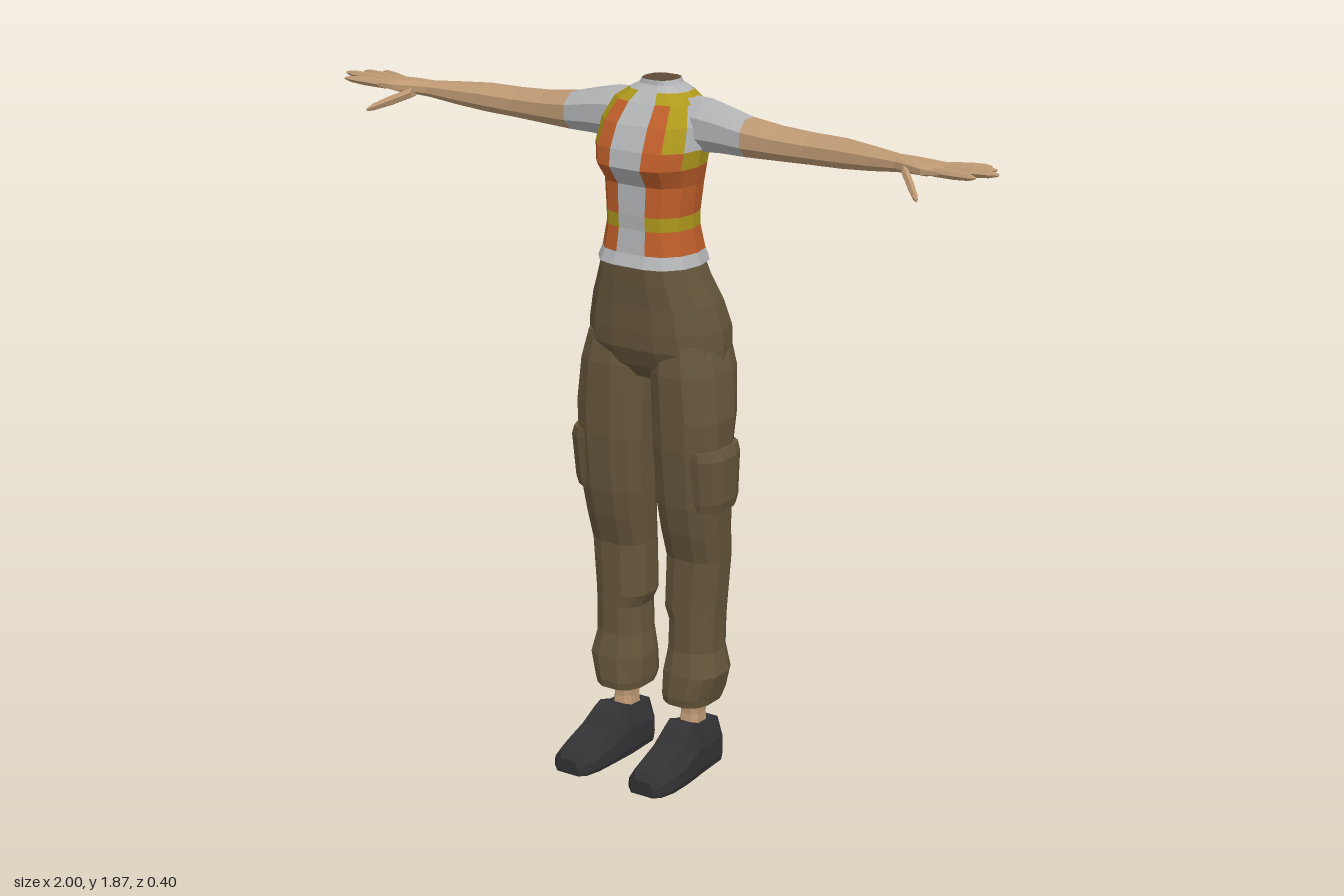
import * as THREE from 'three';

const mat = (name, color) => {
  const m = new THREE.MeshStandardMaterial({ color });
  m.name = name;
  return m;
};
const M = {
  skin: mat('skin', 0xbf9a74),
  trousers: mat('trousers', 0x65563b),
  orange: mat('vestOrange', 0xbf5e2a),
  yellow: mat('vestYellow', 0xae981c),
  shirt: mat('shirtGrey', 0xb2b4b6),
  shoe: mat('shoeBlack', 0x323234),
  hollow: mat('neckHollow', 0x5e4a36),
};
const V = (x, y, z) => new THREE.Vector3(x, y, z);

// Faceted skin over a list of rings; pick(i, j) gives the material of each face
function loft(name, rings, pick, capMat) {
  const faces = new Map();
  const add = (m, ...pts) => {
    if (!faces.has(m)) faces.set(m, []);
    pts.forEach(p => faces.get(m).push(p.x, p.y, p.z));
  };
  const choose = typeof pick === 'function' ? pick : () => pick;
  const n = rings[0].length;
  for (let i = 0; i < rings.length - 1; i++) {
    for (let j = 0; j < n; j++) {
      const k = (j + 1) % n, a = rings[i], b = rings[i + 1];
      add(choose(i, j), a[j], a[k], b[k], a[j], b[k], b[j]);
    }
  }
  [rings[0], rings[rings.length - 1]].forEach((r, e) => {
    const c = r.reduce((s, p) => s.add(p), V(0, 0, 0)).divideScalar(n);
    for (let j = 0; j < n; j++) {
      const k = (j + 1) % n, m = capMat || choose(0, 0);
      if (e) add(m, c, r[j], r[k]);
      else add(m, c, r[k], r[j]);
    }
  });
  const geo = new THREE.BufferGeometry(), pos = [], mats = [];
  for (const [m, list] of faces) {
    geo.addGroup(pos.length / 3, list.length / 3, mats.length);
    mats.push(m);
    for (const v of list) pos.push(v);
  }
  geo.setAttribute('position', new THREE.Float32BufferAttribute(pos, 3));
  geo.computeVertexNormals();
  const mesh = new THREE.Mesh(geo, mats.length > 1 ? mats : mats[0]);
  mesh.name = name;
  return mesh;
}

// Body ring from a half outline, mirrored; cleft pulls in the back centre
const HALF = [[0, 1], [.33, 1], [.66, .88], [.92, .5], [1, 0], [.92, -.5], [.7, -.85], [.35, -1], [0, -.97]];
function bodyRing([y, w, f, b, cleft = 0]) {
  const mid = (f + b) / 2, d = (f - b) / 2;
  const half = HALF.map(([u, v], i) => V(u * w, y, mid + v * d + (i === 8 ? cleft : 0)));
  const other = half.slice(1, 8).reverse().map(p => V(-p.x, p.y, p.z));
  return [...half, ...other];
}

// Squarish ring lying flat, for legs
const soft = v => Math.sign(v) * Math.abs(v) ** 0.75;
function legRing([y, x0, x1, f, b], n = 12) {
  return Array.from({ length: n }, (_, i) => {
    const a = (i + 0.5) / n * Math.PI * 2;
    return V((x0 + x1) / 2 + (x1 - x0) / 2 * soft(Math.sin(a)), y, (f + b) / 2 + (f - b) / 2 * soft(Math.cos(a)));
  });
}

// Upright ring across x, for arms and fingers
function armRing([x, y, z, ry, rz], n = 8) {
  return Array.from({ length: n }, (_, i) => {
    const a = (i + 0.5) / n * Math.PI * 2;
    return V(x, y + ry * 1.06 * Math.cos(a), z + rz * 1.06 * Math.sin(a));
  });
}

function makeTorso() {
  const rings = [
    [1.405, .145, .088, -.15], [1.437, .134, .075, -.14], [1.5, .122, .068, -.128], [1.537, .122, .07, -.128],
    [1.615, .13, .068, -.135], [1.665, .142, .102, -.142], [1.71, .148, .094, -.147], [1.77, .142, .066, -.147],
    [1.82, .122, .024, -.14], [1.845, .085, -.003, -.128], [1.86, .055, -.018, -.114], [1.872, .048, -.02, -.112],
  ].map(bodyRing);
  return loft('vestTorso', rings, (i, j) => {
    const s = j < 8 ? j : 15 - j;
    if (i === 0 || s === 0 || i > 8) return M.shirt; // hem, front stripe, neck
    if (i === 2 || i === 8) return M.yellow; // waist band, collar
    if (i === 5 && (s === 3 || s === 4)) return M.yellow; // below armhole
    if (i > 5 && (s === 3 || s === 4)) return M.shirt;
    if (i > 5 && (s === 2 || s === 5)) return M.yellow; // armhole trim
    return M.orange;
  }, M.hollow);
}

function makeHips() {
  const rings = [
    [1.09, .15, .01, -.13, .03], [1.13, .195, .045, -.17, .04], [1.18, .197, .066, -.194, .04], [1.23, .194, .07, -.197, .03],
    [1.3, .177, .072, -.175, .015], [1.36, .152, .077, -.15], [1.42, .132, .08, -.135],
  ].map(bodyRing);
  return loft('trouserHips', rings, M.trousers);
}

function makeLeg() {
  const leg = new THREE.Group();
  const rings = [
    [.188, .04, .176, .022, -.145], [.21, .036, .182, .026, -.156], [.275, .034, .202, .02, -.15], [.34, .045, .186, .006, -.142],
    [.42, .048, .187, .005, -.143], [.455, .032, .19, .005, -.146], [.6, .034, .204, .002, -.145], [.68, .03, .208, .026, -.138],
    [.76, .025, .215, .042, -.134], [.92, .02, .218, .058, -.138], [1.0, .016, .222, .06, -.15],
    [1.12, .013, .207, .062, -.172], [1.2, .025, .185, .05, -.165],
  ].map(r => legRing(r));
  leg.add(loft('trouserLeg', rings, M.trousers));
  const pocket = [[.755, .1, .226, .03, -.122], [.78, .1, .232, .036, -.126], [.9, .1, .237, .05, -.128], [.925, .1, .228, .05, -.13]];
  leg.add(loft('cargoPocket', pocket.map(r => legRing(r)), M.trousers));
  const ankle = [[.09, .075, .142, -.015, -.105], [.15, .08, .138, -.025, -.1], [.22, .075, .145, -.02, -.11]];
  leg.add(loft('ankle', ankle.map(r => legRing(r, 8)), M.skin));

  // Shoe sections run from heel to toe: z, centre x, half width, height
  const outline = [[.94, 0], [1, .15], [.96, .55], [.6, 1], [-.6, 1], [-.96, .55], [-1, .15], [-.94, 0]];
  const shoe = [
    [-.135, .112, .045, .112], [-.11, .112, .06, .122], [-.04, .113, .064, .125], [0, .114, .066, .138], [.025, .116, .067, .125],
    [.075, .119, .068, .093], [.14, .121, .066, .07], [.183, .121, .055, .058], [.2, .121, .036, .04],
  ].map(([z, cx, w, h]) => outline.map(([u, v]) => V(cx + u * w, v * h, z)));
  leg.add(loft('shoe', shoe, M.shoe));
  return leg;
}

function makeArm() {
  const arm = new THREE.Group();
  const rings = [
    [.09, 1.765, -.062, .07, .055], [.145, 1.766, -.062, .066, .056], [.2, 1.762, -.06, .058, .052], [.27, 1.753, -.06, .049, .049],
    [.36, 1.748, -.064, .042, .045], [.45, 1.747, -.066, .038, .043], [.55, 1.75, -.058, .036, .04], [.64, 1.752, -.046, .029, .032],
    [.72, 1.755, -.034, .021, .025], [.765, 1.757, -.03, .019, .037], [.81, 1.757, -.027, .017, .05], [.86, 1.759, -.03, .011, .052],
  ].map(r => armRing(r));
  arm.add(loft('sleeve', rings.slice(0, 4), M.shirt));
  arm.add(loft('forearmAndHand', rings.slice(3), M.skin));
  // Fingers: base and tip as x, y, z, then thickness
  const digits = [
    ['littleFinger', [.84, 1.757, -.068], [.938, 1.762, -.1], .01],
    ['ringFinger', [.84, 1.759, -.045], [.972, 1.766, -.062], .011],
    ['middleFinger', [.84, 1.76, -.018], [1, 1.767, -.02], .012],
    ['indexFinger', [.84, 1.758, .006], [.965, 1.765, .03], .011],
    ['thumb', [.755, 1.748, .0], [.842, 1.706, .09], .014],
  ];
  for (const [name, a, b, r] of digits) {
    const finger = [[0, 1], [.5, 1], [.85, .75], [1, .3]].map(([t, s]) =>
      armRing([...a.map((v, i) => v + (b[i] - v) * t), r * s, r * s * 1.1], 6));
    arm.add(loft(name, finger, M.skin));
  }
  return arm;
}

export function createModel() {
  const model = new THREE.Group();
  model.name = 'worker';
  model.add(makeTorso(), makeHips());
  for (const [side, s] of [['left', 1], ['right', -1]]) {
    const leg = makeLeg(), arm = makeArm();
    leg.name = side + 'Leg';
    arm.name = side + 'Arm';
    leg.scale.x = arm.scale.x = s;
    model.add(leg, arm);
  }
  return model;
}
